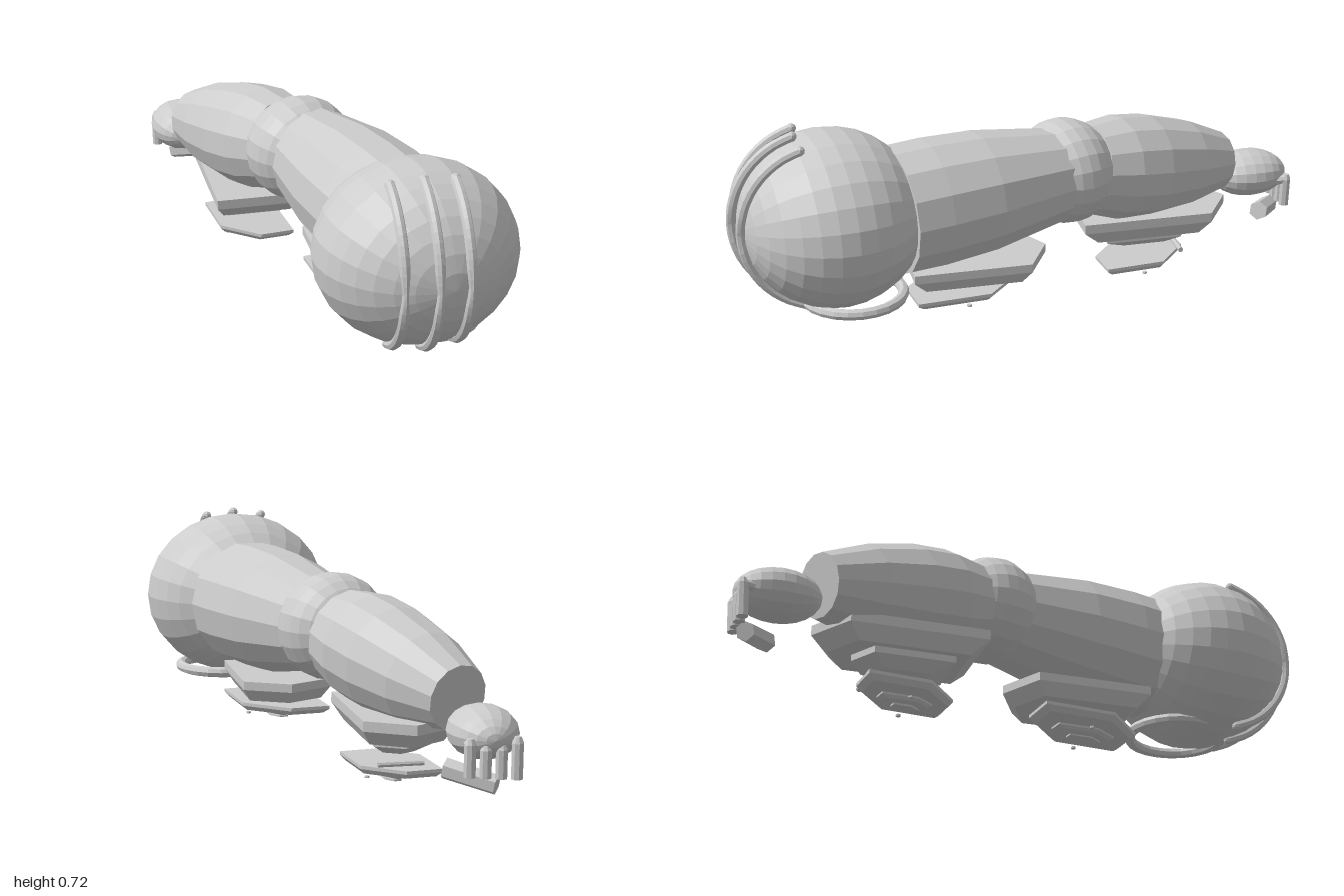
import * as THREE from 'three';
import { ConvexGeometry } from 'three/addons/geometries/ConvexGeometry.js';

const grey = new THREE.MeshStandardMaterial({ color: 0xcccccc, flatShading: true });
grey.name = 'lightGrey';

// Plate outlines as fractions of half width and half length
const SHIELD = [[-1, 1], [1, 1], [1, -0.66], [0, -1], [-1, -0.66]];
const HEX = [[1, 0.92], [0.85, -0.35], [-0.1, -1], [-1, -0.92], [-0.85, 0.35], [0.1, 1]];

export function createModel() {
  const root = new THREE.Group();
  root.name = 'arm';

  const add = (name, geometry, x = 0, y = 0, z = 0) => {
    const mesh = new THREE.Mesh(geometry, grey);
    mesh.name = name;
    mesh.position.set(x, y, z);
    root.add(mesh);
    return mesh;
  };
  const vec = (p) => new THREE.Vector3(...p);
  const UP = new THREE.Vector3(0, 1, 0);

  // Turned limb between two points; profile rows are [radius, fraction of length]
  const limb = (name, from, to, profile, sides) => {
    const a = vec(from), d = vec(to).sub(a), len = d.length();
    const pts = profile.map(([r, t]) => new THREE.Vector2(r, t * len));
    const mesh = add(name, new THREE.LatheGeometry(pts, sides), ...from);
    mesh.quaternion.setFromUnitVectors(UP, d.normalize());
  };

  // Ellipsoid whose pole lies along z, turned by yaw
  const ball = (name, centre, radii, yaw, w, h) => {
    const g = new THREE.SphereGeometry(1, w, h).rotateX(Math.PI / 2);
    g.scale(...radii);
    add(name, g, ...centre).rotation.y = yaw;
  };

  // Plate with an upright rim above and a bevel to a smaller underside
  const plate = (name, outline, x, z, y0, y1, halfW, halfL, taper) => {
    const pts = [];
    [[y0, taper], [y0 + (y1 - y0) * 0.6, 1], [y1, 1]].forEach(([y, s]) =>
      outline.forEach(([u, v]) => pts.push(new THREE.Vector3(u * halfW * s, y, v * halfL * s))));
    add(name, new ConvexGeometry(pts), x, 0, z);
  };

  // Shoulder, elbow and the two limb segments
  ball('shoulder', [0.12, 0.427, 0.677], [0.315, 0.28, 0.293], 0.15, 24, 16);
  limb('upperArm', [0.115, 0.425, 0.48], [-0.035, 0.435, -0.11],
    [[0, 0], [0.208, 0], [0.21, 0.2], [0.2, 0.5], [0.172, 0.78], [0.15, 1], [0, 1]], 14);
  ball('elbow', [-0.055, 0.435, -0.122], [0.182, 0.174, 0.16], 0.3, 20, 14);
  limb('forearm', [-0.085, 0.42, -0.2], [-0.298, 0.315, -0.73],
    [[0, 0], [0.15, 0], [0.174, 0.2], [0.174, 0.42], [0.15, 0.72], [0.103, 1], [0, 1]], 14);

  // Three pinched ridges arching over the front of the shoulder
  [[0.012, 0.269, 0.697], [0.11, 0.28, 0.705], [0.208, 0.269, 0.697]].forEach(([x, r, cz]) => {
    const pts = [];
    for (let i = 0; i <= 12; i++) {
      const a = (i / 6 - 1) * 1.28;
      pts.push(new THREE.Vector3(0, 0.433 + r * Math.sin(a), cz + r * Math.cos(a)));
    }
    const g = new THREE.TubeGeometry(new THREE.CatmullRomCurve3(pts), 24, 0.016, 8);
    const p = g.attributes.position;
    for (let i = 0; i < p.count; i++) {
      const s = (p.getY(i) - 0.43) / 0.04;
      p.setX(i, p.getX(i) * (1 - 0.45 * Math.exp(-s * s)));
    }
    add('shoulderRidge', g, x, 0, 0);
    [pts[0], pts[12]].forEach((e) =>
      add('ridgeEnd', new THREE.SphereGeometry(0.016, 8, 6), x, e.y, e.z));
  });

  // Ring beneath the shoulder
  add('shoulderRing', new THREE.TorusGeometry(0.157, 0.018, 8, 24).rotateX(Math.PI / 2), 0.17, 0.18, 0.62);

  // Guard and stacked floating plates beneath the upper arm
  plate('upperArmGuard', SHIELD, 0.06, 0.2, 0.16, 0.23, 0.145, 0.23, 0.82);
  plate('upperArmPlate', HEX, 0.06, 0.245, 0.105, 0.132, 0.147, 0.19, 0.88);
  plate('upperArmStep', HEX, 0.06, 0.245, 0.088, 0.103, 0.056, 0.11, 0.8);
  plate('upperArmBadge', HEX, 0.06, 0.245, 0.075, 0.08, 0.03, 0.06, 1);

  // Guards and stacked floating plates beneath the forearm
  plate('forearmGuard', SHIELD, -0.178, -0.457, 0.155, 0.235, 0.143, 0.265, 0.8);
  plate('forearmLowerGuard', SHIELD, -0.18, -0.44, 0.103, 0.155, 0.09, 0.155, 0.55);
  plate('forearmPlate', HEX, -0.173, -0.42, 0.033, 0.06, 0.128, 0.157, 0.88);
  plate('forearmStep', HEX, -0.173, -0.42, 0.016, 0.031, 0.045, 0.09, 0.8);
  plate('forearmBadge', HEX, -0.173, -0.42, 0.002, 0.008, 0.025, 0.045, 1);
  add('forearmBar', new THREE.CylinderGeometry(0.009, 0.009, 0.145, 8).rotateZ(Math.PI / 2), -0.173, 0.079, -0.548);

  // Paired studs beside each badge
  [-1, 1].forEach((s) => {
    add('upperArmStud', new THREE.CylinderGeometry(0.008, 0.008, 0.006, 8), 0.062 + s * 0.092, 0.084, 0.245);
    add('forearmStud', new THREE.CylinderGeometry(0.008, 0.008, 0.006, 8), -0.173 + s * 0.075, 0.01, -0.42);
  });

  // Palm, four hanging fingers and the thumb
  ball('palm', [-0.335, 0.243, -0.862], [0.105, 0.08, 0.135], 0, 16, 12);
  for (let i = 0; i < 4; i++) {
    const x = -0.405 + i * 0.047;
    const top = i === 0 || i === 3 ? 0.25 : 0.23;
    limb('finger', [x, 0.125 + i * 0.004, -0.976], [x, top, -0.98],
      [[0, 0], [0.018, 0], [0.018, 0.85], [0.01, 1], [0, 1]], 8);
    limb('knuckle', [x, top - 0.02, -0.98], [x * 0.8 - 0.067, 0.225, -0.9],
      [[0, 0], [0.016, 0], [0.016, 1], [0, 1]], 8);
  }
  limb('thumb', [-0.222, 0.14, -0.868], [-0.352, 0.105, -0.955],
    [[0, 0], [0.033, 0], [0.031, 1], [0, 1]], 6);

  return root;
}
